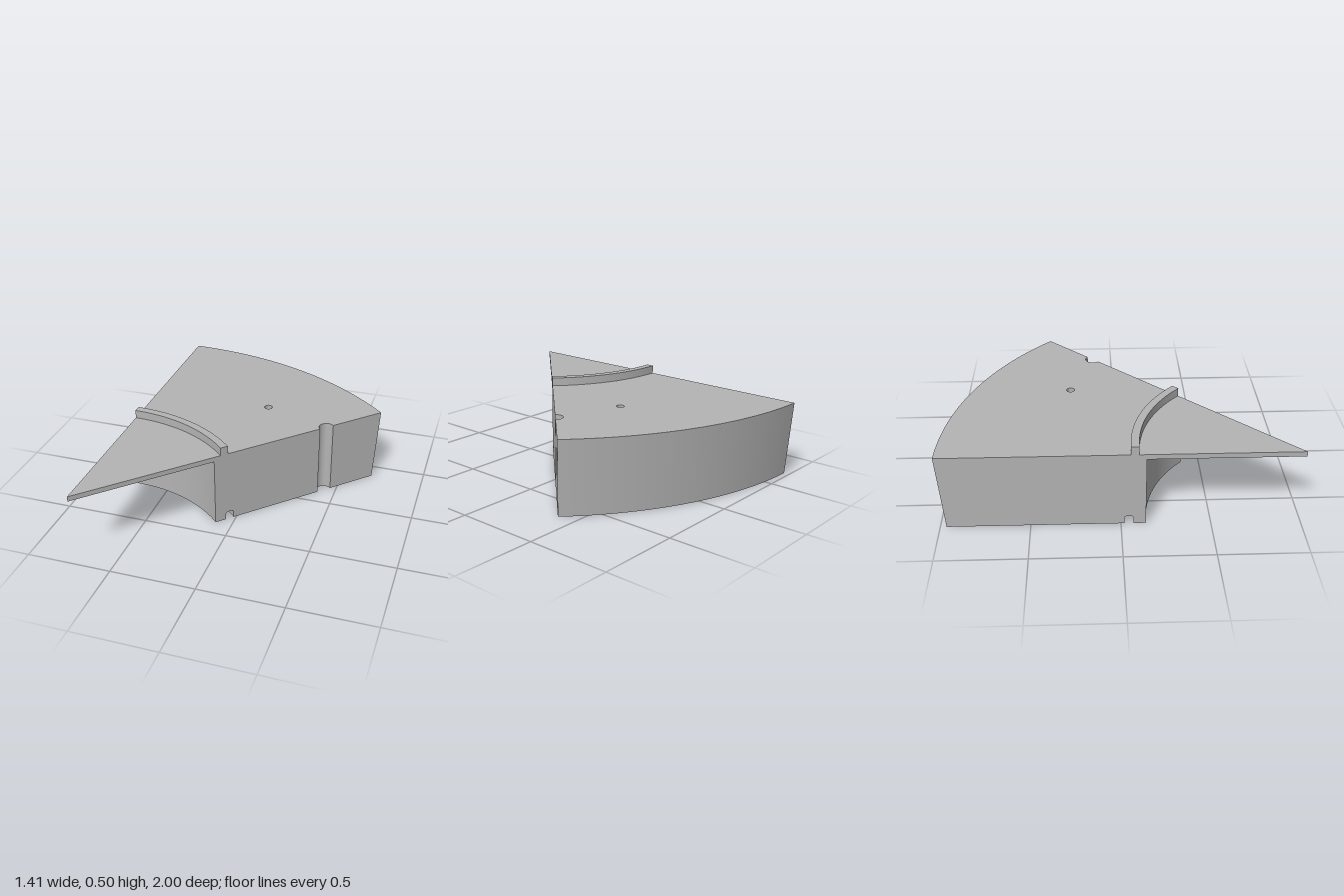
import * as THREE from 'three';
import { toCreasedNormals } from 'three/addons/utils/BufferGeometryUtils.js';

const A = Math.PI / 4;               // wedge angle
const H = 0.45, PLATE = 0.42;        // top and underside of the thin plate
const R_TOP = 2, R_BASE = 1.965;     // drafted outer wall
const R_IN = 0.861;                  // inner wall of the body
const LIP_IN = 0.902, LIP_OUT = 0.948, LIP_TOP = 0.5;
const GR_IN = 0.93, GR_OUT = 0.98;   // groove under the body
const NOTCH = { d: 1.608, r: 0.046 };
const HOLE = { x: 0.732, y: 1.275, r: 0.024 };
const SEG = 32;

// Profiles are (radius, height), running counter-clockwise round the section
const groove = [[GR_IN, 0], [GR_IN, 0.04], [GR_IN + 0.01, 0.05], [GR_OUT - 0.01, 0.05], [GR_OUT, 0.04], [GR_OUT, 0]];
const lip = [[LIP_OUT, H], [LIP_OUT, LIP_TOP], [LIP_IN, LIP_TOP], [LIP_IN, H]];

// Reverse the winding so that a surface faces the other way
function flip(geo) {
  const g = geo.index ? geo.toNonIndexed() : geo;
  for (const attr of [g.attributes.position, g.attributes.uv]) {
    const n = attr.itemSize;
    for (let i = 0; i < attr.count; i += 3) {
      for (let k = 0; k < n; k++) {
        const b = (i + 1) * n + k, c = (i + 2) * n + k;
        [attr.array[b], attr.array[c]] = [attr.array[c], attr.array[b]];
      }
    }
  }
  g.computeVertexNormals();
  return toCreasedNormals(g, 0.5);
}

// Sweep a profile through the wedge angle
function sweep(profile) {
  const points = profile.map(([r, y]) => new THREE.Vector2(r, y));
  return toCreasedNormals(new THREE.LatheGeometry(points, SEG, Math.PI - A, A), 0.5);
}

// Horizontal sector with the pin hole and the edge notch
function sector(rIn, rOut) {
  const c = Math.SQRT1_2, s = new THREE.Shape();
  s.moveTo(rIn * c, rIn * c);
  s.lineTo((NOTCH.d - NOTCH.r) * c, (NOTCH.d - NOTCH.r) * c);
  s.absarc(NOTCH.d * c, NOTCH.d * c, NOTCH.r, A + Math.PI, A, true);
  s.lineTo(rOut * c, rOut * c);
  s.absarc(0, 0, rOut, A, 2 * A, false);
  s.lineTo(0, rIn);
  s.absarc(0, 0, rIn, 2 * A, A, true);
  const hole = new THREE.Path();
  hole.absarc(HOLE.x, HOLE.y, HOLE.r, 0, Math.PI * 2, true);
  s.holes.push(hole);
  return new THREE.ShapeGeometry(s, SEG).rotateX(-Math.PI / 2);
}

// Flat radial face standing at an angle round the apex
function radialFace(points, angle) {
  const shape = new THREE.Shape(points.map(([r, y]) => new THREE.Vector2(r, y)));
  return new THREE.ShapeGeometry(shape).rotateY(angle);
}

export function createModel() {
  const model = new THREE.Group();
  model.name = 'wedgeSegment';
  const grey = new THREE.MeshStandardMaterial({ color: 0xb4b4b4 });
  grey.name = 'grey';
  const add = (name, geo, x = 0, y = 0, z = 0) => {
    const mesh = new THREE.Mesh(geo, grey);
    mesh.name = name;
    mesh.position.set(x - Math.SQRT1_2, y, z + 1);
    model.add(mesh);
  };

  // Swept surfaces
  add('outerWall', sweep([[R_BASE, 0], [R_TOP, H]]));
  add('raisedLip', sweep(lip));
  add('plateTop', sweep([[LIP_IN, H], [0, H]]));
  add('plateUnderside', sweep([[0, PLATE], [R_IN, PLATE]]));
  add('innerWall', sweep([[R_IN, PLATE], [R_IN, 0]]));
  add('innerFoot', sweep([[R_IN, 0], [GR_IN, 0]]));
  add('bottomGroove', sweep(groove));

  // Top and bottom of the body
  add('bodyTop', sector(LIP_OUT, R_TOP), 0, H);
  add('bodyBottom', flip(sector(GR_OUT, R_BASE)));

  // Radial faces: one plain, one interrupted by the notch
  const innerEdge = [[0, H], [0, PLATE], [R_IN, PLATE], [R_IN, 0], ...groove];
  const outerEdge = [[R_BASE, 0], [R_TOP, H]];
  const n0 = NOTCH.d - NOTCH.r, n1 = NOTCH.d + NOTCH.r;
  add('plainSide', flip(radialFace([...innerEdge, ...outerEdge, ...lip], 2 * A)));
  add('notchedSideInner', radialFace([...innerEdge, [n0, 0], [n0, H], ...lip], A));
  add('notchedSideOuter', radialFace([[n1, 0], ...outerEdge, [n1, H]], A));

  // Walls of the notch and the pin hole
  const d = NOTCH.d * Math.SQRT1_2;
  add('notchWall', flip(new THREE.CylinderGeometry(NOTCH.r, NOTCH.r, H, SEG, 1, true, 3 * A, Math.PI)), d, H / 2, -d);
  add('pinHoleWall', flip(new THREE.CylinderGeometry(HOLE.r, HOLE.r, H, SEG, 1, true)), HOLE.x, H / 2, -HOLE.y);
  return model;
}
